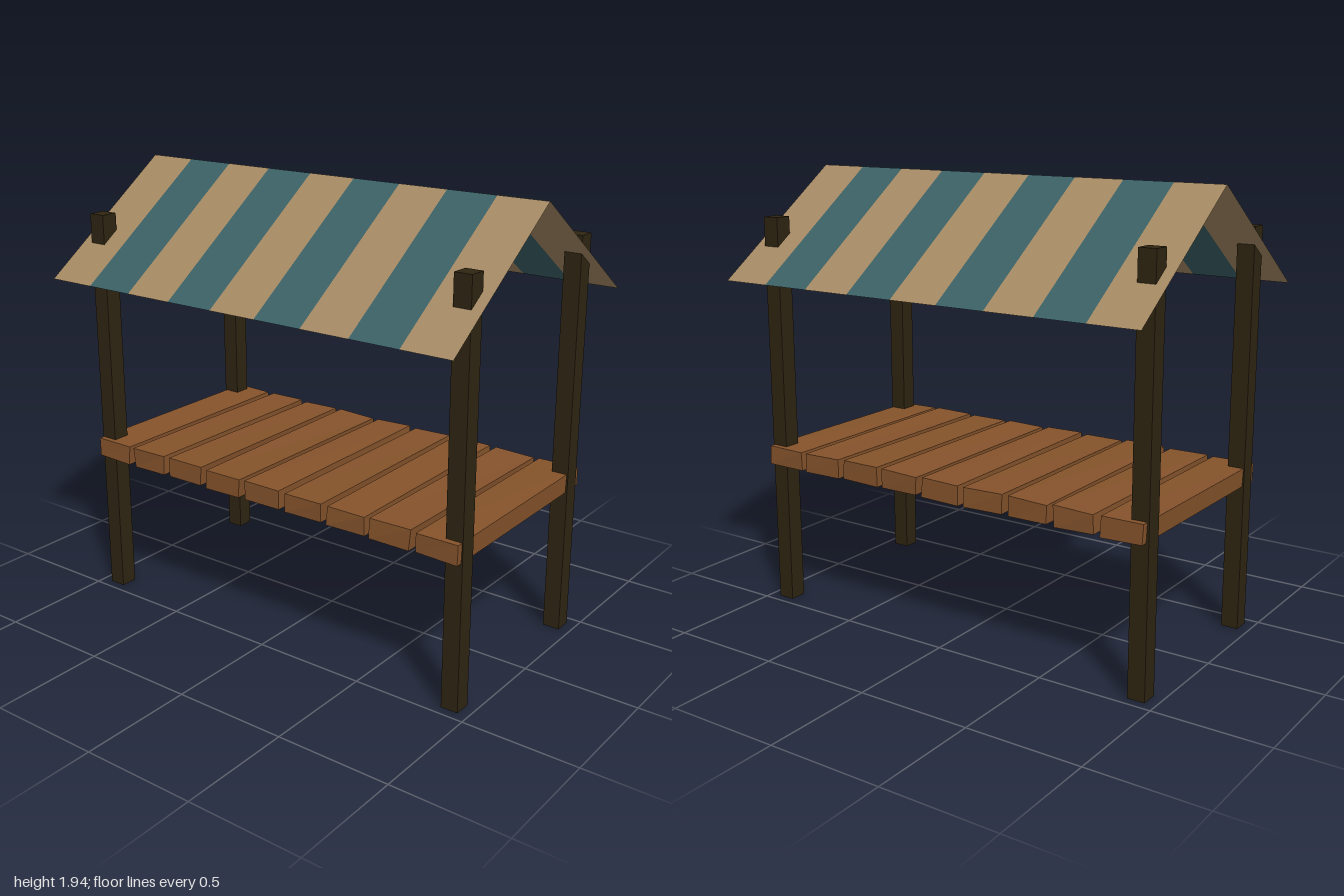
import * as THREE from 'three';

const mat = (name, color, extra = {}) => {
  const m = new THREE.MeshStandardMaterial({ color, ...extra });
  m.name = name;
  return m;
};

export function createModel() {
  const postWood = mat('dark post wood', 0x2e2411, { flatShading: true });
  const plankWood = mat('plank wood', 0x85532b, { flatShading: true });
  const tan = mat('tan cloth', 0xa58963, { side: THREE.DoubleSide });
  const teal = mat('teal cloth', 0x3b6065, { side: THREE.DoubleSide });

  const model = new THREE.Group();
  model.name = 'marketStall';
  const add = (parent, name, geometry, material, x, y, z) => {
    const mesh = new THREE.Mesh(geometry, material);
    mesh.name = name;
    mesh.position.set(x, y, z);
    parent.add(mesh);
    return mesh;
  };

  // Four square posts that poke through the awning
  const postGeo = new THREE.BoxGeometry(0.076, 1.745, 0.076);
  for (const x of [-1, 1]) for (const z of [-1, 1]) {
    add(model, `${z > 0 ? 'front' : 'back'}${x > 0 ? 'Left' : 'Right'}Post`,
      postGeo, postWood, x * 0.915, 0.8725, z * 0.42);
  }

  // Counter of nine rough planks; corners are nudged by a small repeatable amount
  const wobble = (n) => {
    const s = Math.sin(n * 12.9898) * 43758.5453;
    return s - Math.floor(s);
  };
  const counter = new THREE.Group();
  counter.name = 'counter';
  model.add(counter);
  for (let i = 0; i < 9; i++) {
    const geo = new THREE.BoxGeometry(0.194, 0.092, 0.98);
    const p = geo.attributes.position;
    for (let v = 0; v < p.count; v++) {
      const [x, y, z] = [p.getX(v), p.getY(v), p.getZ(v)];
      const id = i * 8 + (x > 0 ? 1 : 0) + (y > 0 ? 2 : 0) + (z > 0 ? 4 : 0) + 1;
      p.setXYZ(v,
        x - Math.sign(x) * 0.011 * wobble(id),
        y - Math.sign(y) * 0.008 * wobble(id + 100),
        z - Math.sign(z) * 0.008 * wobble(id + 200));
    }
    geo.computeVertexNormals();
    add(counter, `plank${i + 1}`, geo, plankWood, (i - 4) * 0.2135, 0.685, 0);
  }

  // Striped gable awning: nine strips of thin cloth on each slope
  const ridgeY = 1.94, eaveY = 1.487, eaveZ = 0.645, width = 2 / 9;
  const drop = ridgeY - eaveY;
  const stripGeo = new THREE.PlaneGeometry(width, Math.hypot(drop, eaveZ));
  stripGeo.rotateX(-Math.atan2(eaveZ, drop));
  for (const side of [1, -1]) {
    const slope = new THREE.Group();
    slope.name = side > 0 ? 'frontAwning' : 'backAwning';
    if (side < 0) slope.rotation.y = Math.PI;
    model.add(slope);
    for (let i = 0; i < 9; i++) {
      add(slope, `stripe${i + 1}`, stripGeo, i % 2 ? teal : tan,
        (i - 4) * width, (ridgeY + eaveY) / 2, eaveZ / 2);
    }
  }
  return model;
}
